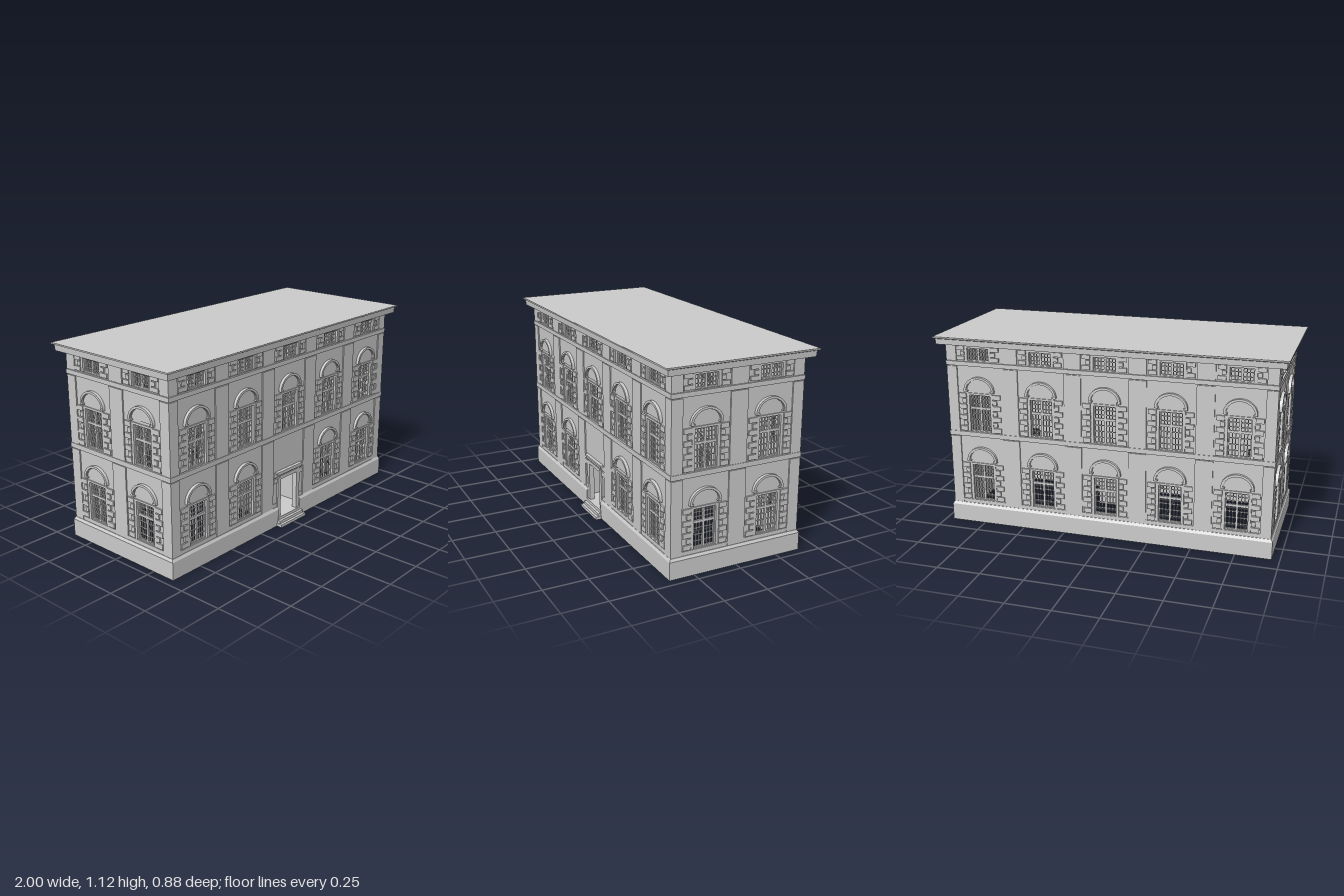
import * as THREE from 'three';
import { mergeGeometries } from 'three/addons/utils/BufferGeometryUtils.js';

const material = new THREE.MeshStandardMaterial({ color: 0xcccccc, flatShading: true, side: THREE.DoubleSide });
const WALL_X = 0.938, WALL_Z = 0.378, THICK = 0.02;
const WIN = 0.064; // half width of every window opening
const FLOORS = [
  { y0: 0.14, y1: 0.36, arch: 0.39, transom: 0.283, quoins: 7, pilaster: [0.115, 0.53] },
  { y0: 0.565, y1: 0.785, arch: 0.812, transom: 0.705, quoins: 7, pilaster: [0.5625, 0.95] },
  { y0: 0.985, y1: 1.06, quoins: 3, pilaster: [0.982, 1.08] },
];

// Box given by its limits
function box(x0, x1, y0, y1, z0, z1) {
  const g = new THREE.BoxGeometry(x1 - x0, y1 - y0, z1 - z0);
  return g.translate((x0 + x1) / 2, (y0 + y1) / 2, (z0 + z1) / 2).toNonIndexed();
}

function part(name, geometries) {
  const mesh = new THREE.Mesh(mergeGeometries(geometries), material);
  mesh.name = name;
  return mesh;
}

// Moulding with profile points [offset from wall, height], mitred at the corners.
// With a gap it leaves an opening of that half width in the middle.
function moulding(half, profile, gap = 0) {
  const shape = new THREE.Shape(profile.map(([u, v]) => new THREE.Vector2(u, v)));
  const runs = gap
    ? [[u => half + u, () => gap], [() => -gap, u => -half - u]]
    : [[u => half + u, u => -half - u]];
  return runs.map(([start, end]) => {
    const g = new THREE.ExtrudeGeometry(shape, { depth: 1, bevelEnabled: false });
    const p = g.attributes.position;
    for (let i = 0; i < p.count; i++) {
      const u = p.getX(i), w = p.getZ(i);
      p.setXYZ(i, start(u) + (end(u) - start(u)) * w, p.getY(i), u);
    }
    g.computeVertexNormals();
    return g;
  });
}

const band = (y0, y1, out) => [[-0.01, y0], [out, y0], [out, y1], [-0.01, y1]];

function rectPath(x0, x1, y0, y1) {
  return new THREE.Path([[x0, y0], [x1, y0], [x1, y1], [x0, y1]].map(([x, y]) => new THREE.Vector2(x, y)));
}

// Casement sashes with glazing bars
function sash(cx, f) {
  const out = [], zb = -0.016, zf = -0.008;
  const bar = (x0, x1, y0, y1, d = 0) => out.push(box(cx + x0, cx + x1, y0, y1, zb - d, zf + d));
  bar(-0.006, 0.006, f.y0, f.y1, 0.002);
  for (const s of [-1, 1]) {
    bar(Math.min(s * WIN, s * 0.058), Math.max(s * WIN, s * 0.058), f.y0, f.y1, 0.002);
    for (const k of [1, 2]) {
      const x = s * (0.006 + k * 0.0173);
      bar(x - 0.002, x + 0.002, f.y0, f.y1);
    }
  }
  const sections = f.transom ? [[f.y0, f.transom, 4], [f.transom, f.y1, 3]] : [[f.y0, f.y1, 3]];
  for (const [a, b, rows] of sections) {
    bar(-WIN, WIN, a, a + 0.007, 0.002);
    bar(-WIN, WIN, b - 0.007, b, 0.002);
    for (let r = 1; r < rows; r++) {
      const y = a + ((b - a) * r) / rows;
      bar(-WIN, WIN, y - 0.002, y + 0.002);
    }
  }
  return out;
}

// Raised trim around an opening
function surround(cx, f) {
  const z = 0.006, o = 0.08;
  return [
    box(cx - o, cx - WIN, f.y0, f.y1 + 0.012, -0.01, z),
    box(cx + WIN, cx + o, f.y0, f.y1 + 0.012, -0.01, z),
    box(cx - WIN, cx + WIN, f.y1, f.y1 + 0.012, -0.01, z),
  ];
}

// Alternating long and short blocks on both sides of a window
function quoins(cx, f) {
  const out = [], pitch = (f.y1 + 0.012 - f.y0) / f.quoins;
  for (let i = 0; i < f.quoins; i++) {
    const w = i % 2 ? 0.106 : 0.128, y = f.y0 + i * pitch;
    for (const s of [-1, 1]) {
      const a = cx + s * 0.082, b = cx + s * w;
      out.push(box(Math.min(a, b), Math.max(a, b), y + 0.003, y + pitch - 0.003, -0.005, 0.009));
    }
  }
  return out;
}

// Arched hood over a window, with a thin panel inside
function hood(cx, y) {
  const solid = (rx, ry, inner, depth) => {
    const s = new THREE.Shape();
    s.absellipse(0, 0, rx, ry, 0, Math.PI, false);
    if (inner) s.absellipse(0, 0, rx - inner, ry - inner, Math.PI, 0, true);
    return new THREE.ExtrudeGeometry(s, { depth, bevelEnabled: false, curveSegments: 16 }).translate(cx, y, 0);
  };
  return [
    solid(0.092, 0.082, 0.013, 0.017),
    solid(0.083, 0.073, 0.006, 0.011),
    solid(0.078, 0.068, 0, 0.004),
    box(cx - 0.092, cx - 0.07, y - 0.006, y + 0.003, -0.005, 0.017),
    box(cx + 0.07, cx + 0.092, y - 0.006, y + 0.003, -0.005, 0.017),
  ];
}

// One side of the building in its own plane, wall face at z = 0
function facade(name, half, bays, pilasters, edge, corner, hasDoor) {
  const group = new THREE.Group();
  group.name = name;
  const wall = new THREE.Shape(rectPath(-half, half, 0, 1.1).getPoints());
  const list = { windowSashes: [], windowSurrounds: [], quoins: [], archedHoods: [], pilasters: [] };
  FLOORS.forEach((f, level) => {
    for (const cx of bays) {
      if (hasDoor && level === 0 && cx === 0) continue;
      wall.holes.push(rectPath(cx - WIN, cx + WIN, f.y0, f.y1));
      list.windowSashes.push(...sash(cx, f));
      list.windowSurrounds.push(...surround(cx, f));
      list.quoins.push(...quoins(cx, f));
      if (f.arch) list.archedHoods.push(...hood(cx, f.arch));
    }
    const [a, b] = f.pilaster;
    for (const px of pilasters) list.pilasters.push(box(px - 0.05, px + 0.05, a, b, -0.01, 0.007));
    list.pilasters.push(box(edge, corner, a, b, -0.01, 0.007), box(-corner, -edge, a, b, -0.01, 0.007));
  });
  if (hasDoor) wall.holes.push(rectPath(-0.072, 0.072, 0.05, 0.28));
  const wallGeo = new THREE.ExtrudeGeometry(wall, { depth: THICK, bevelEnabled: false }).translate(0, 0, -THICK);
  group.add(part('wall', [wallGeo]));
  for (const key in list) group.add(part(key, list[key]));

  const gap = hasDoor ? 0.1 : 0;
  group.add(part('base', moulding(half, [[-0.01, 0], [0.017, 0], [0.017, 0.1], [0.008, 0.115], [-0.01, 0.115]], gap)));
  group.add(part('sillBand', moulding(half, band(0.115, 0.138, 0.005), gap)));
  group.add(part('lowerBelt', moulding(half, band(0.535, 0.5625, 0.01))));
  group.add(part('upperBelt', moulding(half, band(0.955, 0.98, 0.01))));
  group.add(part('cornice', moulding(half, [[-0.01, 1.08], [0.046, 1.08], [0.048, 1.112], [0.06, 1.117], [0.06, 1.124], [-0.01, 1.124]])));
  return group;
}

// Door trim, entrance steps and the hollow room behind the door
function entrance() {
  const group = new THREE.Group();
  group.name = 'entrance';
  const z = WALL_Z, trim = [
    box(-0.1, -0.072, 0.05, 0.31, z - 0.015, z + 0.01),
    box(0.072, 0.1, 0.05, 0.31, z - 0.015, z + 0.01),
    box(-0.072, 0.072, 0.28, 0.31, z - 0.015, z + 0.01),
    box(-0.085, 0.085, 0.29, 0.303, z, z + 0.013),
    box(-0.108, 0.108, 0.31, 0.322, z - 0.01, z + 0.016),
    box(-0.114, 0.114, 0.322, 0.332, z - 0.01, z + 0.02),
  ];
  for (const s of [-1, 1])
    for (const y of [0.265, 0.3]) trim.push(box(s * 0.118 - 0.016, s * 0.118 + 0.016, y, y + 0.027, z - 0.005, z + 0.007));
  group.add(part('doorSurround', trim));
  const steps = [0.43, 0.414, 0.398].map((front, i) =>
    box(-0.112 + i * 0.005, 0.112 - i * 0.005, i * 0.017, (i + 1) * 0.017, z - THICK, front));
  group.add(part('steps', steps));

  const room = new THREE.BoxGeometry(0.31, 0.235, 0.39).translate(0, 0.1675, 0.165);
  const index = Array.from(room.index.array);
  index.splice(24, 6); // open towards the door
  room.setIndex(index);
  group.add(part('entranceRoom', [room]));
  return group;
}

export function createModel() {
  const model = new THREE.Group();
  model.name = 'building';
  const longBays = [-0.75, -0.375, 0, 0.375, 0.75], longPilasters = [-0.5625, -0.1875, 0.1875, 0.5625];
  for (const s of [1, -1]) {
    const long = facade(s > 0 ? 'frontFacade' : 'backFacade', WALL_X, longBays, longPilasters, 0.883, WALL_X + 0.007, s > 0);
    long.position.z = s * WALL_Z;
    long.rotation.y = s > 0 ? 0 : Math.PI;
    const side = facade(s > 0 ? 'leftFacade' : 'rightFacade', WALL_Z, [-0.1875, 0.1875], [0], 0.32, WALL_Z, false);
    side.position.x = s * WALL_X;
    side.rotation.y = (s * Math.PI) / 2;
    model.add(long, side);
  }
  model.add(entrance());
  model.add(part('roof', [box(-0.998, 0.998, 1.117, 1.125, -0.437, 0.437)]));
  return model;
}
